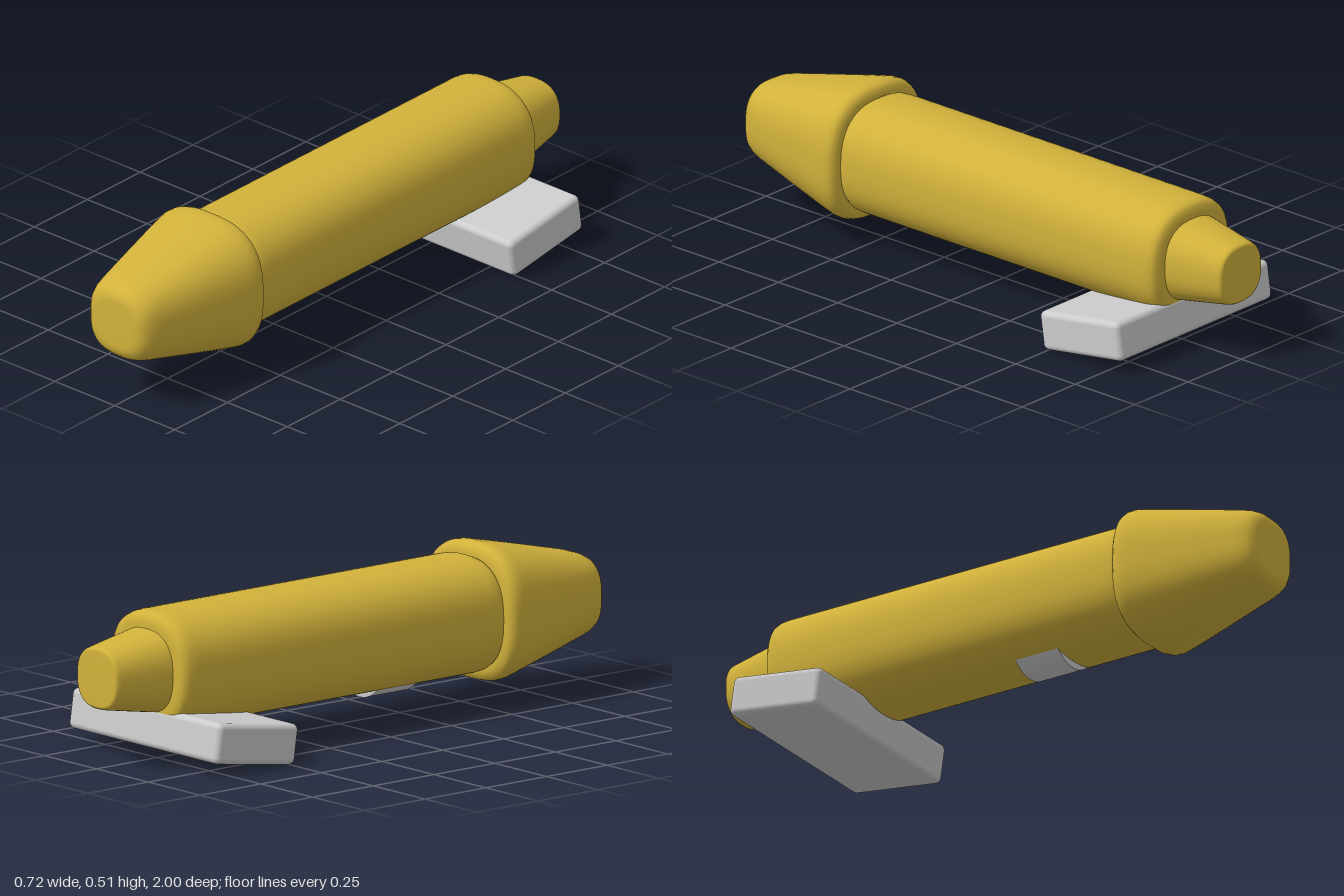
import * as THREE from 'three';
import { RoundedBoxGeometry } from 'three/addons/geometries/RoundedBoxGeometry.js';

const AXIS_Y = 0.292;
const SIDES = 72;

// Closed skin through rounded-square rings [z, halfWidth], listed back to front.
function loft(rings, power) {
  const positions = [], index = [];
  for (const [z, r] of rings) {
    for (let j = 0; j < SIDES; j++) {
      const a = (j / SIDES) * Math.PI * 2;
      const c = Math.cos(a), s = Math.sin(a);
      const k = r / Math.pow(Math.abs(c) ** power + Math.abs(s) ** power, 1 / power);
      positions.push(c * k, s * k, z);
    }
  }
  for (let i = 0; i < rings.length - 1; i++) {
    for (let j = 0; j < SIDES; j++) {
      const n = (j + 1) % SIDES;
      const a = i * SIDES + j, b = i * SIDES + n;
      index.push(a, b, a + SIDES, b, b + SIDES, a + SIDES);
    }
  }
  const geometry = new THREE.BufferGeometry();
  geometry.setAttribute('position', new THREE.Float32BufferAttribute(positions, 3));
  geometry.setIndex(index);
  geometry.computeVertexNormals();
  return geometry;
}

export function createModel() {
  const group = new THREE.Group();
  const gold = new THREE.MeshStandardMaterial({ color: 0xd2b23b });
  const grey = new THREE.MeshStandardMaterial({ color: 0xcccccc });

  const add = (name, geometry, material, y, z = 0) => {
    const mesh = new THREE.Mesh(geometry, material);
    mesh.name = name;
    mesh.position.set(0, y, z);
    group.add(mesh);
    return mesh;
  };

  // Long main barrel with softened ends
  add('body', loft([
    [-0.797, 0], [-0.797, 0.15], [-0.793, 0.17], [-0.782, 0.181], [-0.765, 0.186], [-0.74, 0.188],
    [0.48, 0.188], [0.51, 0.186], [0.525, 0.18], [0.535, 0.16], [0.535, 0],
  ], 2.5), gold, AXIS_Y);

  // Flared head tapering to a blunt nose
  add('head', loft([
    [0.525, 0], [0.525, 0.17], [0.526, 0.19], [0.53, 0.205], [0.54, 0.215], [0.555, 0.22], [0.575, 0.22],
    [0.6, 0.215], [0.65, 0.204], [0.8, 0.169], [0.93, 0.138], [0.96, 0.129], [0.98, 0.119],
    [0.993, 0.106], [0.999, 0.09], [1, 0.075], [1, 0],
  ], 2.7), gold, AXIS_Y);

  // Tapered tail stub
  add('tail', loft([
    [-1, 0], [-1, 0.088], [-0.998, 0.094], [-0.992, 0.098], [-0.98, 0.101],
    [-0.9, 0.115], [-0.8, 0.132], [-0.74, 0.14], [-0.74, 0],
  ], 2.5), gold, AXIS_Y + 0.003);

  // Tilted cross plate under the rear
  const plate = add('rearPlate', new RoundedBoxGeometry(0.718, 0.13, 0.335, 5, 0.02), grey, 0.092, -0.64);
  plate.rotation.x = 0.145;

  // Shallow curved pad under the front of the body
  const pad = add('bellyPad', new THREE.CylinderGeometry(0.12, 0.12, 0.16, 48), grey, 0.2, 0.165);
  pad.rotation.x = Math.PI / 2;

  return group;
}
